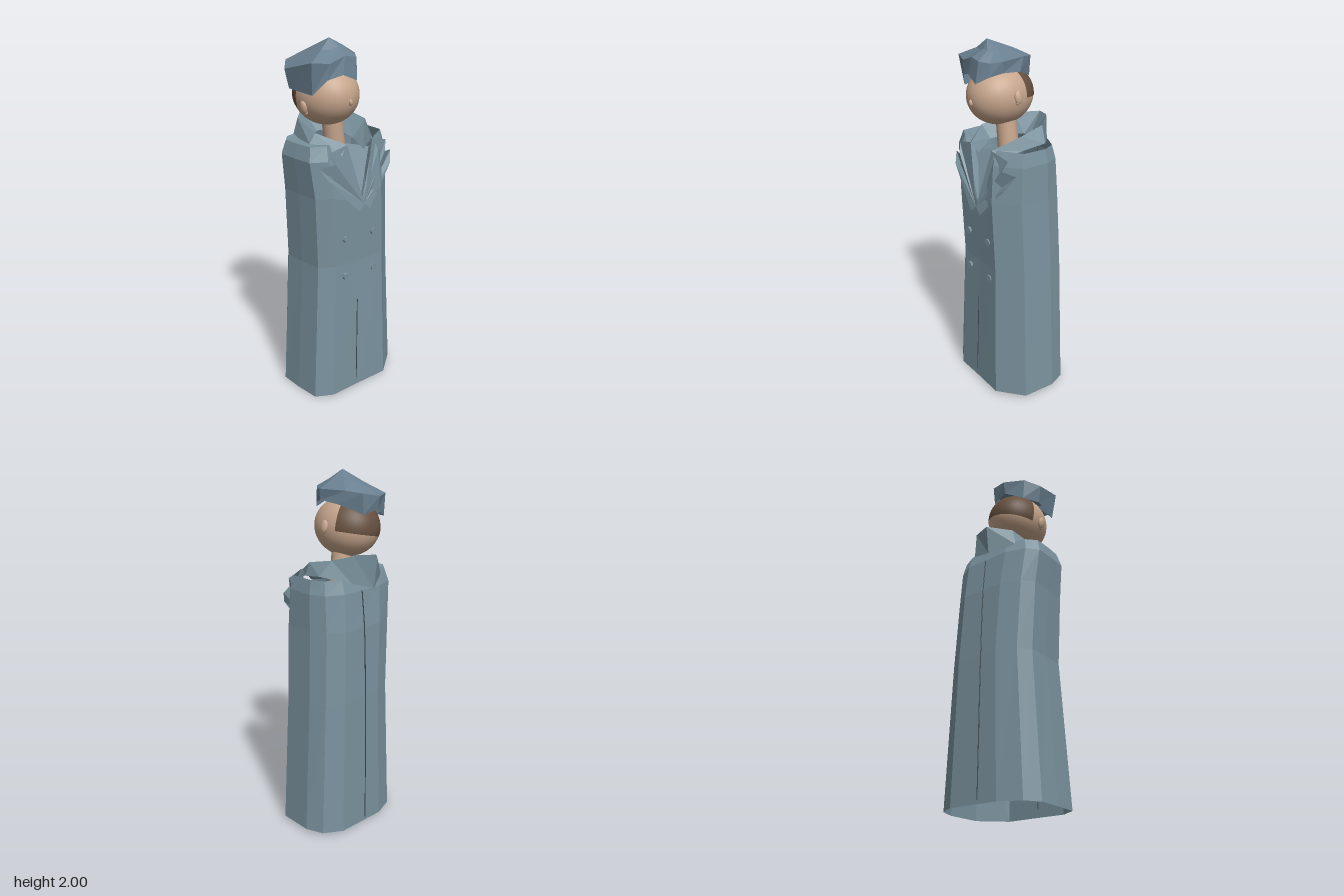
import * as THREE from 'three';

const material = (color, flatShading = false) =>
  new THREE.MeshStandardMaterial({ color, flatShading, side: THREE.DoubleSide });
const cloth = material(0x7a929e, true);
const hairBlue = material(0x6a8091, true);
const skin = material(0xc6a58c);
const brown = material(0x66503f);
const thread = material(0x3c4950);

// Flat-shaded surface from a list of corner triples
function facets(name, corners, mat) {
  const geometry = new THREE.BufferGeometry();
  geometry.setAttribute('position', new THREE.Float32BufferAttribute(corners.flat(), 3));
  geometry.computeVertexNormals();
  const mesh = new THREE.Mesh(geometry, mat);
  mesh.name = name;
  return mesh;
}

// Skin between successive cross-sections (points run from +x towards +z)
function loft(name, rings, mat, closed = true) {
  const corners = [];
  for (let i = 0; i < rings.length - 1; i++) {
    const n = rings[i].length;
    for (let j = 0; j < (closed ? n : n - 1); j++) {
      const k = (j + 1) % n;
      const [a, b, c, d] = [rings[i][j], rings[i][k], rings[i + 1][k], rings[i + 1][j]];
      corners.push(a, d, b, b, d, c);
    }
  }
  return facets(name, corners, mat);
}

// Fan of triangles around the first point
function fan(name, points, mat) {
  const corners = [];
  for (let i = 1; i < points.length - 1; i++) corners.push(points[0], points[i], points[i + 1]);
  return facets(name, corners, mat);
}

function ellipsoid(name, position, scale, mat, args = [24, 16]) {
  const mesh = new THREE.Mesh(new THREE.SphereGeometry(1, ...args), mat);
  mesh.name = name;
  mesh.position.set(...position);
  mesh.scale.set(...scale);
  return mesh;
}

function seam(name, points) {
  const curve = new THREE.CatmullRomCurve3(points.map(p => new THREE.Vector3(...p)));
  const mesh = new THREE.Mesh(new THREE.TubeGeometry(curve, 16, 0.003, 5), thread);
  mesh.name = name;
  return mesh;
}

function buildCoat() {
  const coat = new THREE.Group();
  coat.name = 'coat';

  // Body: one outline stretched to fit each level, open at hem and neck
  const outline = [[0.315, -0.06], [0.3, 0.13], [0.15, 0.235], [-0.04, 0.215], [-0.22, 0.2], [-0.31, 0.14],
    [-0.315, 0], [-0.31, -0.13], [-0.25, -0.2], [-0.12, -0.24], [0.18, -0.225], [0.28, -0.16]];
  const levels = [[0, -0.315, 0.315, -0.24, 0.235], [0.8, -0.27, 0.275, -0.228, 0.215],
    [1.2, -0.29, 0.255, -0.215, 0.22], [1.4, -0.315, 0.25, -0.195, 0.2], [1.475, -0.295, 0.235, -0.17, 0.17]];
  const rings = levels.map(([y, x0, x1, zb, zf]) => outline.map(([x, z], j) => {
    if (y > 1.14 && j === 3) return [-0.02, 1.14, 0.205]; // foot of the open neckline
    return [x0 + (x + 0.315) / 0.63 * (x1 - x0), y === 0 ? 0.01 + x * 0.03 : y,
      zb + (z + 0.24) / 0.475 * (zf - zb)];
  }));
  // Shoulder cover on the model's right side
  rings.push(rings[4].map(([x, y, z], j) => j > 3 && j < 10 ? [x * 0.62 - 0.02, y - 0.01, z * 0.72] : [x, y, z]));
  coat.add(loft('coatBody', rings, cloth));

  // Recessed chest panel
  coat.add(fan('chestPanel', [[-0.02, 1.13, 0.19], [0.1, 1.41, 0.13], [-0.02, 1.44, 0.08], [-0.14, 1.41, 0.13]], cloth));

  // Notched lapels
  const lapel = [[-0.02, 1.135, 0.225], [-0.11, 1.47, 0.185], [-0.23, 1.44, 0.17], [-0.2, 1.385, 0.195],
    [-0.28, 1.37, 0.16], [-0.25, 1.31, 0.19], [-0.06, 1.1, 0.23]];
  coat.add(fan('rightLapel', lapel, cloth));
  const mirrored = lapel.map(([x, y, z]) => [-0.04 - x, y, z]);
  coat.add(fan('leftLapel', [mirrored[0], ...mirrored.slice(1).reverse()], cloth));

  // Turned-down collar: neck edge, fold and outer edge
  coat.add(loft('collar', [
    [[0.1, 1.42, 0.19], [0.175, 1.47, 0.06], [0.2, 1.49, -0.07], [0.08, 1.45, -0.19], [-0.05, 1.41, -0.23],
      [-0.19, 1.45, -0.16], [-0.24, 1.47, 0.04], [-0.15, 1.42, 0.19]],
    [[0.07, 1.47, 0.18], [0.15, 1.54, 0.05], [0.14, 1.57, -0.1], [0.07, 1.595, -0.19], [-0.05, 1.575, -0.25],
      [-0.16, 1.56, -0.15], [-0.2, 1.52, 0.04], [-0.11, 1.47, 0.18]],
    [[0.04, 1.41, 0.15], [0.08, 1.44, 0.03], [0.07, 1.46, -0.06], [0.03, 1.47, -0.11], [-0.04, 1.47, -0.13],
      [-0.11, 1.46, -0.09], [-0.14, 1.45, 0.03], [-0.09, 1.41, 0.15]],
  ], cloth, false));

  // Double row of buttons
  for (const [x, y, z] of [[-0.125, 0.95, 0.197], [0.065, 0.95, 0.21], [-0.125, 0.73, 0.195], [0.072, 0.73, 0.208]]) {
    const button = new THREE.Mesh(new THREE.CylinderGeometry(0.02, 0.02, 0.018, 8), cloth);
    button.name = 'button';
    button.rotation.x = Math.PI / 2;
    button.position.set(x, y, z);
    coat.add(button);
  }
  coat.add(seam('frontSeam', [[-0.042, 0.56, 0.202], [-0.055, 0.05, 0.213]]));
  coat.add(seam('backSeam', [[0, 0.03, -0.235], [0, 0.8, -0.224], [0, 1.2, -0.21], [0, 1.4, -0.19]]));
  return coat;
}

function buildHead() {
  const head = new THREE.Group();
  head.name = 'head';
  head.position.set(-0.09, 1.705, 0);
  head.rotation.z = 0.2;
  head.add(ellipsoid('face', [0, 0, 0], [0.163, 0.16, 0.19], skin, [32, 24]));
  // Close-cropped hair on the back of the skull
  head.add(ellipsoid('backHair', [0, 0, 0], [0.164, 0.162, 0.192], brown,
    [24, 14, Math.PI + 0.3, Math.PI - 0.6, 0.3, 1.45]));
  // Ears
  for (const side of [-1, 1]) {
    const ear = new THREE.Group();
    ear.name = side > 0 ? 'leftEar' : 'rightEar';
    ear.add(ellipsoid('earShell', [side * 0.168, -0.015, 0.01], [0.014, 0.036, 0.024], skin, [14, 10]));
    ear.add(ellipsoid('earLobe', [side * 0.164, -0.043, 0.015], [0.011, 0.014, 0.013], skin, [10, 8]));
    head.add(ear);
  }
  // Nose
  head.add(ellipsoid('nose', [-0.005, -0.015, 0.189], [0.011, 0.018, 0.012], skin, [12, 8]));
  return head;
}

function buildHair() {
  const hem = [[0.03, 1.84, -0.04], [0.035, 1.85, 0.08], [0, 1.83, 0.14], [-0.05, 1.795, 0.19], [-0.13, 1.83, 0.175],
    [-0.21, 1.81, 0.15], [-0.27, 1.735, 0.1], [-0.285, 1.75, -0.06], [-0.23, 1.76, -0.14], [-0.13, 1.81, -0.18],
    [-0.04, 1.79, -0.16]];
  const crown = [[0.01, 1.91, -0.08], [0.04, 1.91, 0.08], [0, 1.9, 0.13], [-0.04, 1.91, 0.175], [-0.11, 1.92, 0.165],
    [-0.2, 1.89, 0.155], [-0.29, 1.9, 0.12], [-0.305, 1.85, -0.07], [-0.24, 1.88, -0.14], [-0.13, 1.88, -0.195],
    [-0.03, 1.9, -0.16]];
  const apex = [-0.12, 2, 0.06];
  const upper = crown.map(([x, y, z]) => [(x - 0.1) / 2 + 0.01, y * 0.4 + 1.188, (z + 0.03) / 2]);
  return loft('sweptHair', [hem, crown, upper, crown.map(() => apex)], hairBlue);
}

export function createModel() {
  const model = new THREE.Group();
  model.name = 'figureInCoat';
  model.add(buildCoat(), buildHead(), buildHair());

  // Neck, leaning towards the head
  const neck = new THREE.Mesh(new THREE.CylinderGeometry(0.055, 0.058, 0.19, 24), skin);
  neck.name = 'neck';
  neck.position.set(-0.035, 1.5, -0.005);
  neck.rotation.z = 0.13;
  model.add(neck);
  return model;
}
